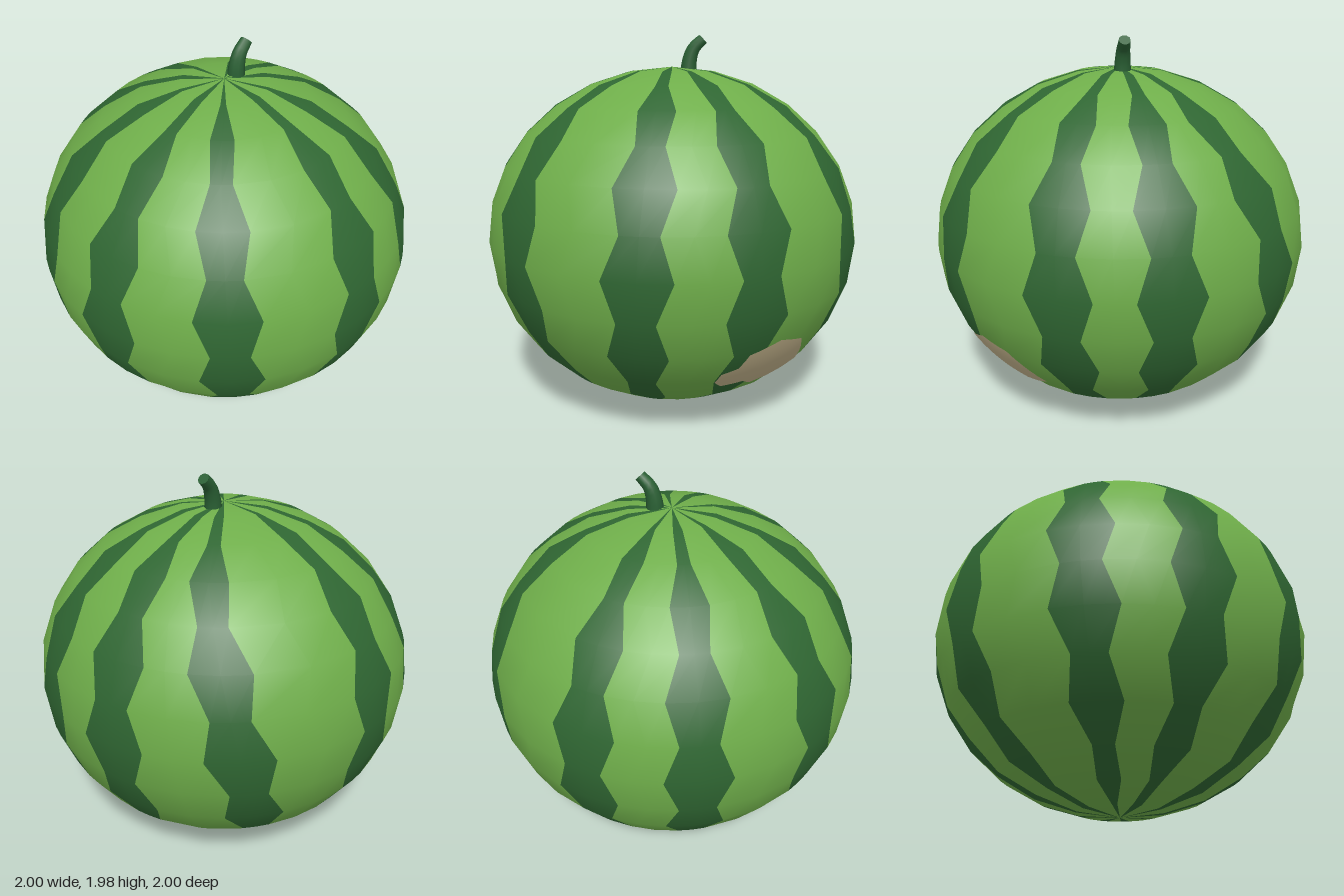
import * as THREE from 'three';

const ROWS = 14, RY = 0.905, RAD = Math.PI / 180;

const mat = (name, color, side = THREE.FrontSide) => {
  const m = new THREE.MeshStandardMaterial({ color, side });
  m.name = name;
  return m;
};

// Stripes: [azimuth at the equator, lean per row, parity of the wide rows], degrees from +z towards +x
const STRIPES = [
  [-154, 0, 1], [-115, 0.8, 0], [-83, 0, 1], [-47, 0.7, 0], [-7.5, -0.6, 1],
  [25, 0, 0], [65.5, 0.5, 1], [95.5, 0.5, 1], [131, 2.6, 1], [174, 0, 0],
];

// Left (-1) or right (+1) edge of a stripe on a given row, as an angle
function stripeEdge(k, side, row) {
  const turn = Math.floor(k / STRIPES.length);
  const [centre, lean, parity] = STRIPES[k - turn * STRIPES.length];
  const swell = Math.pow(Math.sin(Math.PI * Math.min(Math.max(row, 1), ROWS - 1) / ROWS), 0.3);
  const half = (row % 2 === parity ? 9.5 : 5.4) * swell;
  const drift = Math.max(-4, Math.min(4, row - 7)) * lean;
  return centre + turn * 360 + drift + side * half;
}

function geometryFrom(points, normals, index) {
  const g = new THREE.BufferGeometry();
  g.setAttribute('position', new THREE.Float32BufferAttribute(points, 3));
  g.setAttribute('normal', new THREE.Float32BufferAttribute(normals, 3));
  g.setIndex(index);
  return g;
}

// Adds the point of the ellipsoid in unit direction d, with its smooth normal
function pushPoint(points, normals, d, scale = 1) {
  points.push(d.x * scale, RY + d.y * RY * scale, d.z * scale);
  const n = new THREE.Vector3(d.x, d.y / RY, d.z).normalize();
  normals.push(n.x, n.y, n.z);
}

// Pole-to-pole slice of the ellipsoid between two edges that wander by row
function slice(left, right, cols) {
  const points = [], normals = [], index = [];
  for (let i = 0; i <= ROWS; i++) {
    for (let j = 0; j <= cols; j++) {
      const phi = THREE.MathUtils.lerp(left(i), right(i), j / cols) * RAD;
      pushPoint(points, normals, new THREE.Vector3().setFromSphericalCoords(1, Math.PI * i / ROWS, phi));
      if (i < ROWS && j < cols) {
        const a = i * (cols + 1) + j, b = a + cols + 1;
        if (i > 0) index.push(a, b, a + 1);
        if (i < ROWS - 1) index.push(b, b + 1, a + 1);
      }
    }
  }
  return geometryFrom(points, normals, index);
}

// Pale field spot: an outline in front-facing x, y laid on the surface
function fieldSpot() {
  const outline = [
    [0.22, 0.34], [0.25, 0.3], [0.36, 0.31], [0.4, 0.27], [0.64, 0.345], [0.65, 0.46],
    [0.64, 0.53], [0.53, 0.565], [0.38, 0.51], [0.33, 0.43], [0.25, 0.4],
  ].map(([x, y]) => {
    const v = (y - RY) / RY;
    return new THREE.Vector3(x, v, Math.sqrt(1 - x * x - v * v));
  });
  const ring = outline.flatMap((p, i) => {
    const q = outline[(i + 1) % outline.length];
    return [0, 1 / 3, 2 / 3].map(t => p.clone().lerp(q, t));
  });
  const centre = new THREE.Vector3();
  outline.forEach(p => centre.add(p));
  centre.normalize();
  const points = [], normals = [], index = [], rings = 4, n = ring.length;
  for (let r = 0; r <= rings; r++) {
    for (let i = 0; i < n; i++) {
      pushPoint(points, normals, centre.clone().lerp(ring[i], r / rings).normalize(), 1.003);
      if (r === rings) continue;
      const a = r * n + i, b = r * n + (i + 1) % n;
      index.push(a, a + n, b + n);
      if (r > 0) index.push(a, b + n, b);
    }
  }
  return geometryFrom(points, normals, index);
}

// Bent stem that tapers towards its cut end
function stem(material) {
  const group = new THREE.Group();
  group.name = 'stem';
  const path = new THREE.CatmullRomCurve3([
    [0.088, 1.77, 0], [0.093, 1.84, 0], [0.115, 1.905, 0], [0.165, 1.955, 0],
  ].map(p => new THREE.Vector3(...p)));
  const steps = 8, sides = 10, tip = 0.03;
  const tube = new THREE.TubeGeometry(path, steps, 0.047, sides);
  const pos = tube.attributes.position, v = new THREE.Vector3();
  for (let i = 0; i < pos.count; i++) {
    const t = Math.floor(i / (sides + 1)) / steps, c = path.getPointAt(t);
    v.fromBufferAttribute(pos, i).sub(c).multiplyScalar(THREE.MathUtils.lerp(1, tip / 0.047, t)).add(c);
    pos.setXYZ(i, v.x, v.y, v.z);
  }
  const stalk = new THREE.Mesh(tube, material);
  stalk.name = 'stemStalk';
  const cap = new THREE.Mesh(new THREE.CircleGeometry(tip, sides), material);
  cap.name = 'stemCutEnd';
  cap.position.copy(path.getPointAt(1));
  cap.quaternion.setFromUnitVectors(new THREE.Vector3(0, 0, 1), path.getTangentAt(1));
  group.add(stalk, cap);
  return group;
}

export function createModel() {
  const light = mat('light rind green', 0x6fae4a);
  const dark = mat('dark stripe green', 0x2f6632);
  const tan = mat('field spot tan', 0xc0b089, THREE.DoubleSide);
  const stemGreen = mat('stem green', 0x2a6034, THREE.DoubleSide);

  const model = new THREE.Group();
  model.name = 'watermelon';
  const add = (name, geometry, material) => {
    const mesh = new THREE.Mesh(geometry, material);
    mesh.name = name;
    model.add(mesh);
  };

  // Dark stripes alternate with light rind all the way round
  STRIPES.forEach((_, k) => {
    add('stripe' + (k + 1), slice(i => stripeEdge(k, -1, i), i => stripeEdge(k, 1, i), 2), dark);
    add('rind' + (k + 1), slice(i => stripeEdge(k, 1, i), i => stripeEdge(k + 1, -1, i), 2), light);
  });
  add('fieldSpot', fieldSpot(), tan);
  model.add(stem(stemGreen));
  return model;
}
